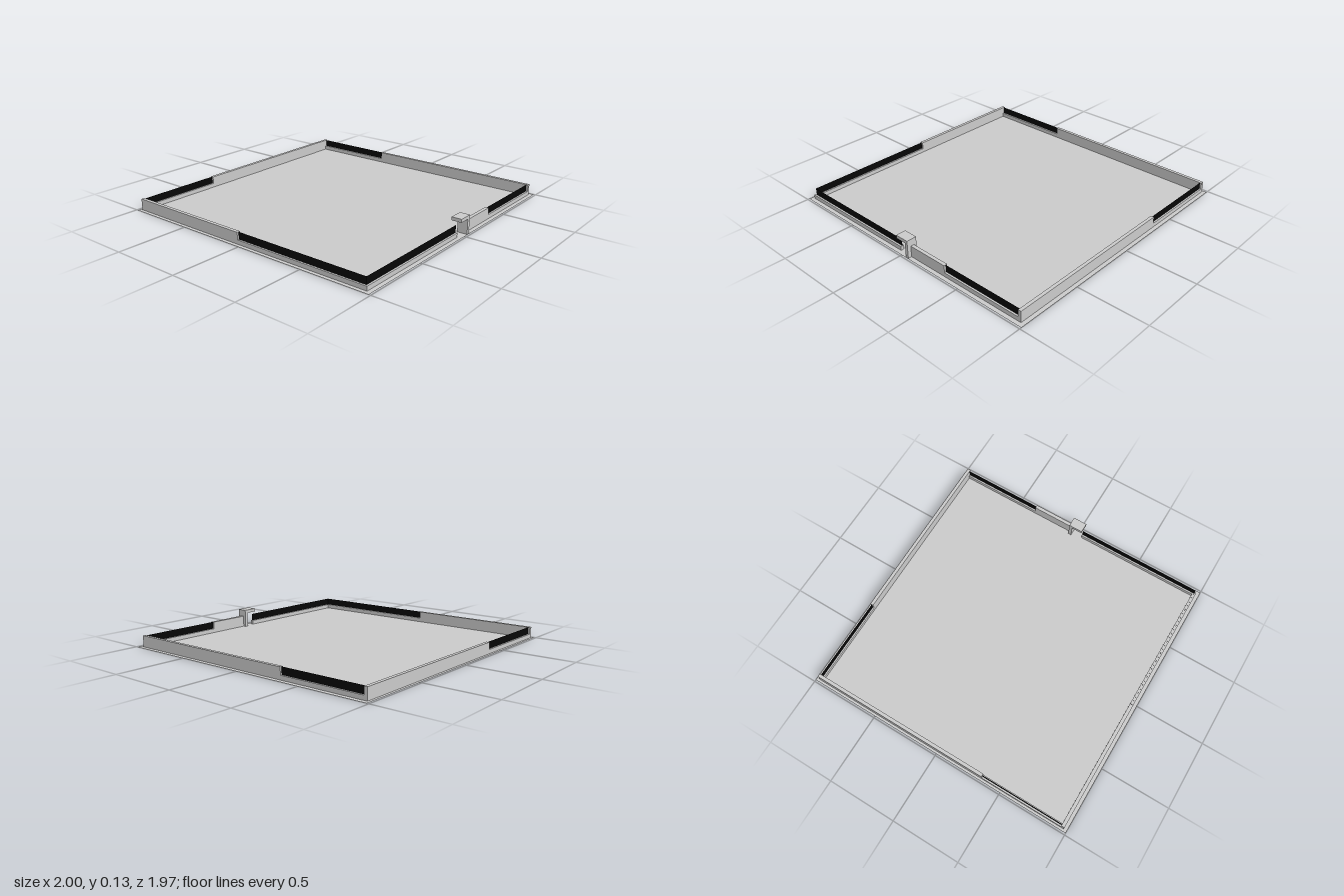
import * as THREE from 'three';

const grey = new THREE.MeshStandardMaterial({ color: 0xcccccc });
const sheet = new THREE.MeshStandardMaterial({ color: 0xcccccc, side: THREE.DoubleSide });
const black = new THREE.MeshStandardMaterial({ color: 0x060606, side: THREE.DoubleSide });

const FULL = 0.08, CURB = 0.03, FLOOR = 0.001;

export function createModel() {
  const group = new THREE.Group();

  // Box given by its limits on each axis
  function box(name, [x0, x1], [y0, y1], [z0, z1]) {
    const mesh = new THREE.Mesh(new THREE.BoxGeometry(x1 - x0, y1 - y0, z1 - z0), grey);
    mesh.position.set((x0 + x1) / 2, (y0 + y1) / 2, (z0 + z1) / 2);
    mesh.name = name;
    group.add(mesh);
  }

  // Thin dark pane standing on a curb, along x or along z
  function pane(name, axis, from, to, across) {
    const mesh = new THREE.Mesh(new THREE.PlaneGeometry(to - from, FULL - CURB), black);
    const mid = (from + to) / 2, y = (FULL + CURB) / 2;
    if (axis === 'x') mesh.position.set(mid, y, across);
    else {
      mesh.position.set(across, y, mid);
      mesh.rotation.y = Math.PI / 2;
    }
    mesh.name = name;
    group.add(mesh);
  }

  // Ground sheet
  const base = new THREE.Mesh(new THREE.PlaneGeometry(2, 1.974), sheet);
  base.rotation.x = -Math.PI / 2;
  base.name = 'base';
  group.add(base);

  // Wall bands
  const front = [0.933, 0.958], back = [-0.97, -0.946];
  const left = [0.949, 0.972], right = [-0.976, -0.952];
  const tall = [FLOOR, FULL], low = [FLOOR, CURB];

  // Front wall, with the doorway between x = -0.04 and 0.04
  box('frontCurbRight', [right[0], -0.04], low, front);
  box('frontWall', [0.04, 0.36], tall, front);
  box('frontCurbLeft', [0.36, left[0]], low, front);
  pane('frontPaneRight', 'x', -0.964, -0.04, 0.945);
  pane('frontPaneLeft', 'x', 0.36, left[0], 0.945);

  // Back wall
  box('backCurb', [right[1], -0.35], low, back);
  box('backWall', [-0.35, left[1]], tall, back);
  pane('backPane', 'x', right[1], -0.35, -0.958);

  // Left wall (+x)
  box('leftCurb', left, low, [back[1], -0.34]);
  box('leftWall', left, tall, [-0.34, front[1]]);
  pane('leftPane', 'z', back[1], -0.34, 0.96);

  // Right wall (-x)
  box('rightCurb', right, low, [-0.03, front[0]]);
  box('rightWall', right, tall, [back[0], -0.03]);
  pane('rightPane', 'z', -0.03, 0.945, -0.964);

  // Entrance: side wall and canopy
  const porch = [0.912, 0.984];
  box('entrancePost', [0.037, 0.06], [FLOOR, 0.105], porch);
  box('entranceCanopy', [-0.042, 0.06], [0.105, 0.128], porch);

  return group;
}
